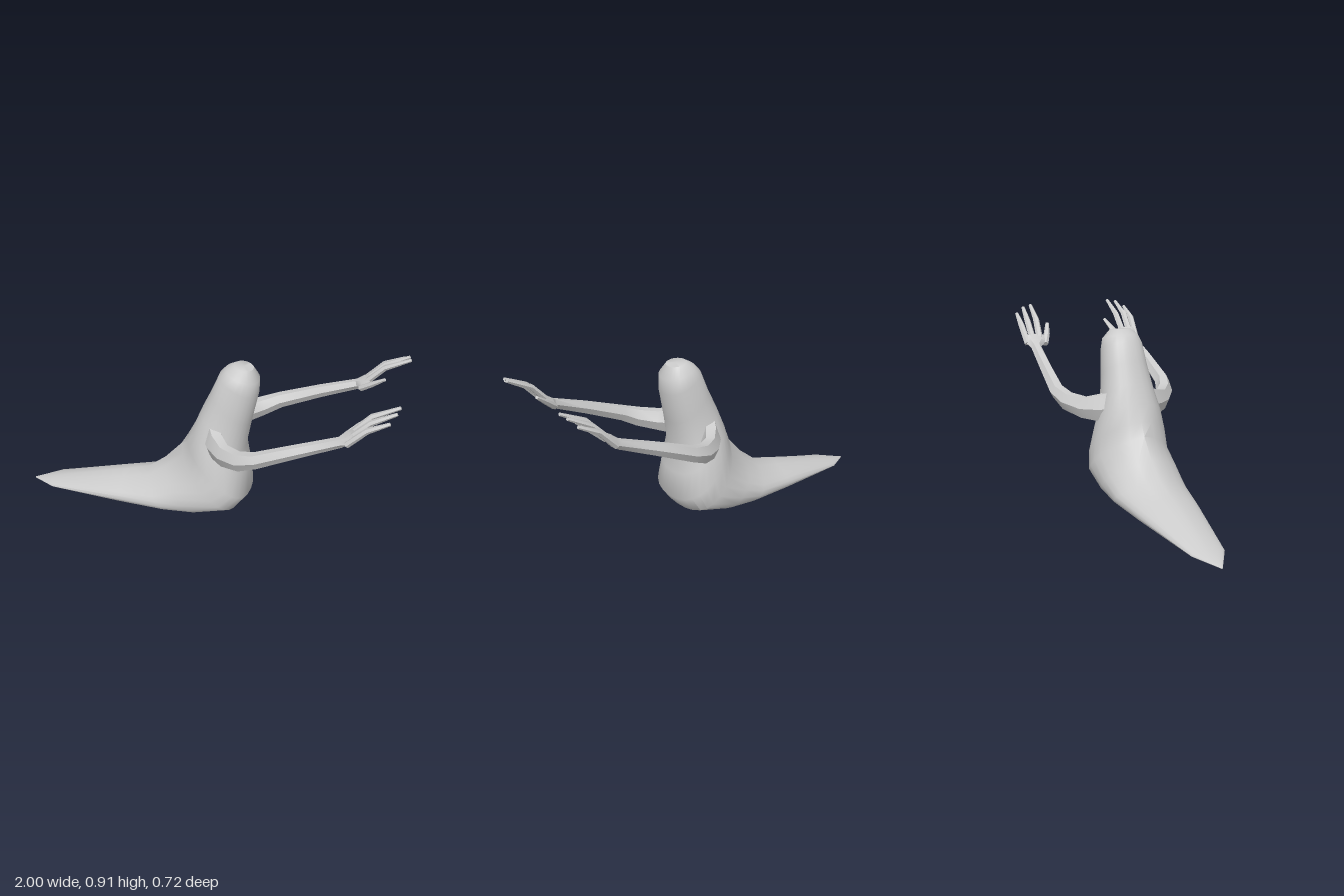
import * as THREE from 'three';
import { toCreasedNormals } from 'three/addons/utils/BufferGeometryUtils.js';

const material = new THREE.MeshStandardMaterial({ color: 0xcccccc, side: THREE.DoubleSide });

// Skins a list of rings (equal point counts) and closes both ends
function skin(rings, crease) {
  const n = rings[0].length, pos = [], idx = [];
  rings.forEach(r => r.forEach(p => pos.push(p.x, p.y, p.z)));
  for (let j = 0; j < rings.length - 1; j++) {
    for (let i = 0; i < n; i++) {
      const a = j * n + i, b = j * n + (i + 1) % n;
      idx.push(a, a + n, b, b, a + n, b + n);
    }
  }
  [0, rings.length - 1].forEach((j, end) => {
    const c = new THREE.Vector3();
    rings[j].forEach(p => c.addScaledVector(p, 1 / n));
    const ci = pos.length / 3;
    pos.push(c.x, c.y, c.z);
    for (let i = 0; i < n; i++) {
      const a = j * n + i, b = j * n + (i + 1) % n;
      if (end) idx.push(ci, b, a); else idx.push(ci, a, b);
    }
  });
  const g = new THREE.BufferGeometry();
  g.setAttribute('position', new THREE.Float32BufferAttribute(pos, 3));
  g.setIndex(idx);
  return toCreasedNormals(g, crease);
}

function part(name, geometry) {
  const m = new THREE.Mesh(geometry, material);
  m.name = name;
  return m;
}

// Limb along a path; each station is [x, y, z, half width, half height]
function limb(stations, sides, mirror) {
  const pts = stations.map(s => new THREE.Vector3(s[0], s[1], s[2] * mirror));
  const up = new THREE.Vector3(0, 1, 0);
  const rings = stations.map((s, j) => {
    const t = pts[Math.min(j + 1, pts.length - 1)].clone().sub(pts[Math.max(j - 1, 0)]).normalize();
    const side = t.clone().cross(up).normalize();
    const top = side.clone().cross(t);
    return Array.from({ length: sides }, (_, i) => {
      const a = (i / sides) * Math.PI * 2;
      return pts[j].clone()
        .addScaledVector(side, Math.cos(a) * s[3])
        .addScaledVector(top, Math.sin(a) * s[4]);
    });
  });
  return skin(rings, 0.6);
}

// Body slices from tail tip to crown:
// [back x, back y, front x, front y, half width, place of widest point, squareness]
const slices = [
  [-1.0, 0.008, -1.0, 0.002, 0.004, 0.5, 1],
  [-0.87, 0.04, -0.86, 0.012, 0.086, 0.6, 0.9],
  [-0.45, 0.16, -0.43, 0.026, 0.165, 0.68, 0.85],
  [-0.32, 0.2, -0.15, 0.038, 0.2, 0.68, 0.85],
  [-0.22, 0.28, 0.02, 0.045, 0.213, 0.65, 0.85],
  [-0.13, 0.38, 0.2, 0.09, 0.217, 0.66, 0.85],
  [-0.09, 0.45, 0.255, 0.16, 0.205, 0.58, 0.85],
  [-0.05, 0.53, 0.24, 0.3, 0.178, 0.52, 0.85],
  [-0.01, 0.63, 0.222, 0.43, 0.145, 0.5, 0.88],
  [0.04, 0.74, 0.248, 0.58, 0.125, 0.5, 0.9],
  [0.08, 0.84, 0.28, 0.74, 0.111, 0.5, 0.9],
  [0.11, 0.872, 0.282, 0.82, 0.096, 0.5, 0.95],
  [0.15, 0.895, 0.25, 0.88, 0.055, 0.5, 1],
];

function bodyGeometry() {
  const n = 24;
  const rings = slices.map(([bx, by, fx, fy, w, widest, square]) => {
    const bias = Math.log(widest) / Math.log(0.5);
    const soft = v => Math.sign(v) * Math.pow(Math.abs(v), square);
    return Array.from({ length: n }, (_, i) => {
      const a = (i / n) * Math.PI * 2;
      const s = Math.pow(Math.max(0, (1 - soft(Math.cos(a))) / 2), bias);
      return new THREE.Vector3(bx + (fx - bx) * s, by + (fy - by) * s, -w * soft(Math.sin(a)));
    });
  });
  return skin(rings, 0.85);
}

// Shoulder flare, bent elbow, wrist and flat palm
const armPath = [
  [0.08, 0.5, 0.11, 0.055, 0.095],
  [0.1, 0.495, 0.155, 0.05, 0.08],
  [0.16, 0.49, 0.225, 0.045, 0.062],
  [0.25, 0.51, 0.285, 0.045, 0.052],
  [0.335, 0.545, 0.31, 0.042, 0.042],
  [0.55, 0.635, 0.305, 0.034, 0.034],
  [0.74, 0.71, 0.295, 0.03, 0.026],
  [0.775, 0.735, 0.287, 0.062, 0.024],
  [0.805, 0.765, 0.287, 0.06, 0.014],
];

// Each digit: base, knuckle, tip
const digits = {
  thumb: [[0.765, 0.72, 0.235], [0.82, 0.765, 0.205], [0.885, 0.815, 0.18]],
  indexFinger: [[0.775, 0.735, 0.26], [0.875, 0.845, 0.25], [1.0, 0.908, 0.244]],
  middleFinger: [[0.775, 0.735, 0.3], [0.875, 0.84, 0.302], [0.99, 0.9, 0.292]],
  outerFinger: [[0.775, 0.725, 0.333], [0.865, 0.82, 0.342], [0.965, 0.87, 0.338]],
};

export function createModel() {
  const model = new THREE.Group();
  model.name = 'ghost';
  model.add(part('body', bodyGeometry()));

  for (const [label, mirror] of [['left', 1], ['right', -1]]) {
    const arm = new THREE.Group();
    arm.name = label + 'Arm';
    arm.add(part('armAndPalm', limb(armPath, 6, mirror)));
    for (const [name, joints] of Object.entries(digits)) {
      const sizes = [[0.02, 0.017], [0.018, 0.015], [0.01, 0.008]];
      arm.add(part(name, limb(joints.map((p, i) => [...p, ...sizes[i]]), 6, mirror)));
    }
    model.add(arm);
  }
  return model;
}
